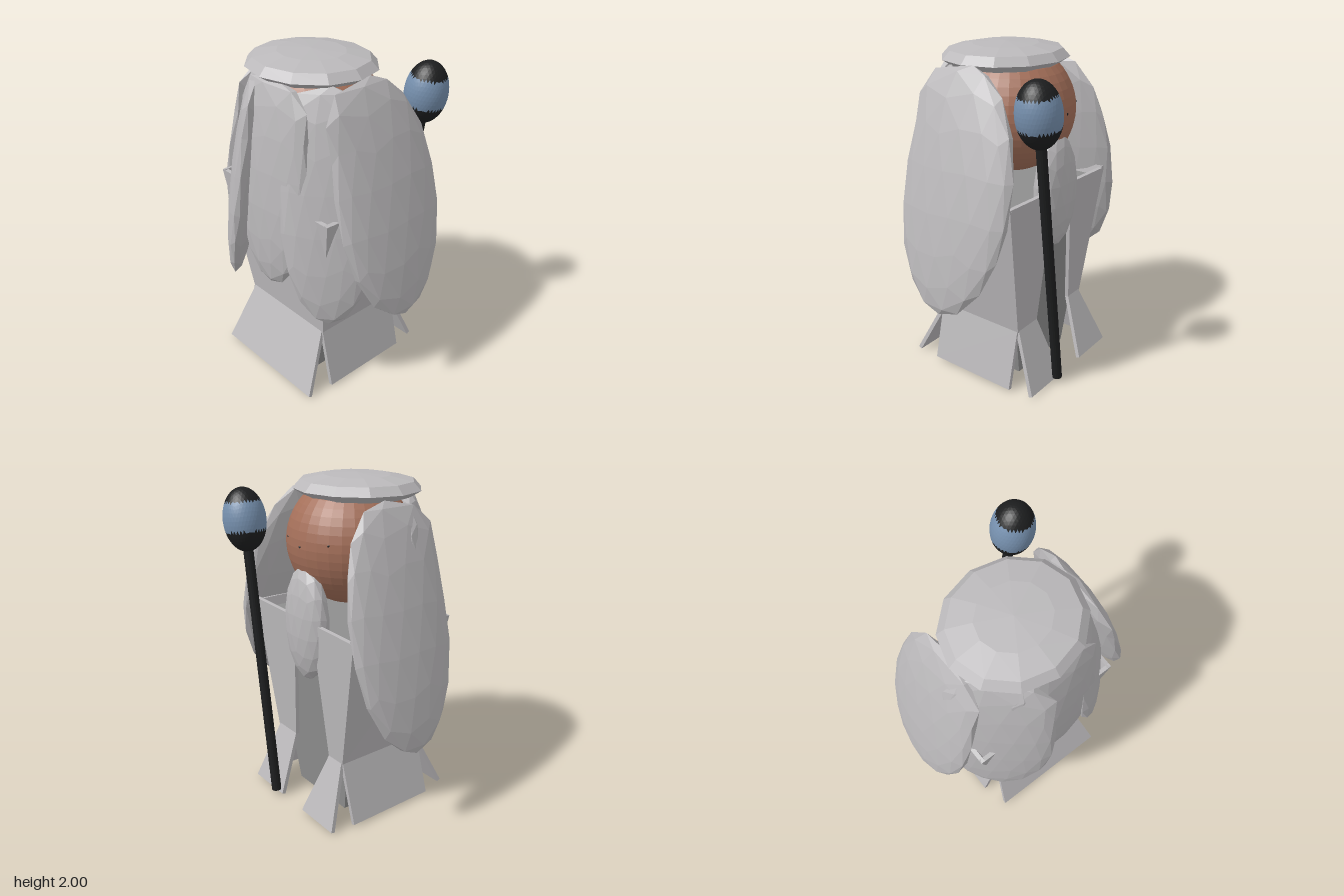
import * as THREE from 'three';

const mat = (name, color) => {
  const m = new THREE.MeshStandardMaterial({ color, flatShading: true });
  m.name = name;
  return m;
};

// Closed six-sided solid between two quads; each ring runs counter-clockwise seen from the "far" side
function hexahedron(near, far) {
  const tri = [];
  const quad = (a, b, c, d) => tri.push(a, b, c, a, c, d);
  quad(far[0], far[1], far[2], far[3]);
  quad(near[3], near[2], near[1], near[0]);
  for (let i = 0; i < 4; i++) {
    const j = (i + 1) % 4;
    quad(near[i], near[j], far[j], far[i]);
  }
  const g = new THREE.BufferGeometry().setFromPoints(tri);
  g.computeVertexNormals();
  return g;
}

// Thin cloth panel: outer quad (bottom left, bottom right, top right, top left) thickened inward
function panel(corners, thickness = 0.025) {
  const outer = corners.map((c) => new THREE.Vector3(...c));
  const n = outer[1].clone().sub(outer[0]).cross(outer[3].clone().sub(outer[0])).normalize();
  const inner = outer.map((p) => p.clone().addScaledVector(n, -thickness));
  return hexahedron(inner, outer);
}

// Faceted unit ball with a corner at each pole
const facetedBall = (detail) => new THREE.IcosahedronGeometry(1, detail).rotateZ(0.5536);

export function createModel() {
  const grey = mat('pale grey', 0xbbb9bb);
  const dark = mat('mid grey', 0x8e8e8e);
  const skin = mat('brown skin', 0xa5705a);
  const black = mat('black', 0x1d1e1f);
  const blue = mat('slate blue', 0x7690ae);

  const model = new THREE.Group();
  const add = (name, geometry, material, parent = model) => {
    const m = new THREE.Mesh(geometry, material);
    m.name = name;
    parent.add(m);
    return m;
  };

  // Inner robe, widening towards the shoulders
  const ring = (y, x0, x1, z0, z1) =>
    [[x0, z1], [x1, z1], [x1, z0], [x0, z0]].map(([x, z]) => new THREE.Vector3(x, y, z));
  add('innerRobe', hexahedron(ring(0, -0.24, 0.2, -0.27, 0.2), ring(1.15, -0.35, 0.28, -0.45, 0.41)), dark);

  // Coat panels and the flared skirt flaps below them
  const yTop = 1.2, yHip = 0.37, yHem = 0.015;
  add('coatFrontLeft', panel([[0.28, yHip, 0.32], [0.28, yHip, 0.13], [0.33, yTop, 0.04], [0.33, yTop + 0.01, 0.46]]), grey);
  add('coatFrontRight', panel([[0.28, yHip, -0.22], [0.28, yHip, -0.35], [0.33, yTop - 0.01, -0.51], [0.33, yTop, -0.13]]), grey);
  add('coatBack', panel([[-0.31, yHip, -0.35], [-0.31, yHip, 0.32], [-0.395, yTop, 0.45], [-0.395, yTop, -0.5]]), grey);
  add('coatLeftSide', panel([[-0.31, yHip, 0.32], [0.28, yHip, 0.32], [0.33, yTop, 0.46], [-0.395, yTop, 0.45]]), grey);
  add('coatRightSide', panel([[0.28, yHip, -0.35], [-0.31, yHip, -0.35], [-0.395, yTop, -0.5], [0.33, yTop, -0.51]]), grey);

  add('flapFrontLeft', panel([[0.43, yHem, 0.38], [0.43, yHem, 0.08], [0.28, 0.38, 0.13], [0.28, 0.38, 0.31]]), grey);
  add('flapFrontRight', panel([[0.43, yHem, -0.14], [0.43, yHem, -0.44], [0.28, 0.38, -0.34], [0.28, 0.38, -0.22]]), grey);
  add('flapBack', panel([[-0.485, yHem, -0.41], [-0.485, yHem, 0.39], [-0.31, 0.38, 0.31], [-0.31, 0.38, -0.34]]), grey);
  add('flapLeftSide', panel([[-0.31, yHem, 0.405], [0.275, yHem, 0.405], [0.275, 0.38, 0.32], [-0.31, 0.38, 0.32]]), grey);
  add('flapRightSide', panel([[0.275, yHem, -0.46], [-0.31, yHem, -0.46], [-0.31, 0.38, -0.35], [0.275, 0.38, -0.35]]), grey);

  // Head with tiny eyes and nose tip, almost flush with the skin
  const headCentre = new THREE.Vector3(-0.025, 1.62, -0.03);
  add('head', new THREE.SphereGeometry(0.37, 32, 24), skin).position.copy(headCentre);
  for (const [name, y, z] of [['leftEye', 0.04, 0.13], ['rightEye', 0.04, -0.2], ['noseTip', 0.01, -0.02]]) {
    const eye = add(name, new THREE.SphereGeometry(0.008, 8, 6), black);
    eye.position.set(Math.sqrt(0.365 ** 2 - y * y - z * z), y, z).add(headCentre);
  }

  // Beard
  const beard = add('beard', facetedBall(2).scale(0.092, 0.35, 0.183), grey);
  beard.position.set(0.288, 1.17, -0.03);

  // Crown of hair on top
  const profile = [[0, 1.88], [0.32, 1.877], [0.385, 1.917], [0.34, 1.964], [0.2, 1.99], [0, 2]];
  const crown = add('hairCrown',
    new THREE.LatheGeometry(profile.map(([r, y]) => new THREE.Vector2(r, y)), 12).scale(0.94, 1, 1.02), grey);
  crown.position.set(-0.075, 0, -0.03);

  // Long locks: flattened ellipsoids leaning outward, facing the given angle around y.
  // fullLeft and fullRight widen the upper end on the local -x and +x sides.
  function lock(name, [x, y, z], angle, width, length, lean, fullLeft, fullRight) {
    const g = facetedBall(2);
    const p = g.attributes.position;
    for (let i = 0; i < p.count; i++) {
      const t = Math.max(0, p.getY(i)), px = p.getX(i);
      p.setX(i, px * (1 + (px < 0 ? fullLeft : fullRight) * t ** 4));
    }
    g.scale(width, length, 0.088);
    g.rotateX(-lean);
    g.rotateY(angle);
    g.computeVertexNormals();
    add(name, g, grey).position.set(x, y, z);
  }
  const q = Math.PI / 4;
  lock('hairLeftSide', [0, 1.25, 0.52], 0, 0.38, 0.695, 0.25, 1.3, -0.1);
  lock('hairRightSide', [0.02, 1.21, -0.54], Math.PI, 0.35, 0.705, 0.23, 0.3, 1.2);
  lock('hairBackRight', [-0.33, 1.21, -0.34], -3 * q, 0.33, 0.695, 0.14, 0.8, 1.2);
  lock('hairBackLeft', [-0.28, 1.21, 0.35], -q, 0.28, 0.695, 0.14, 1.2, 0.2);
  lock('hairBack', [-0.4, 1.28, 0], -2 * q, 0.3, 0.63, 0.06, 1.2, 1.2);

  // Staff with a banded ovoid head, leaning towards the left side
  const staff = new THREE.Group();
  staff.name = 'staff';
  staff.position.set(0.44, 0.03, 0.13);
  staff.rotation.x = Math.atan2(0.21, 1.52);
  model.add(staff);
  add('staffShaft', new THREE.CylinderGeometry(0.03, 0.03, 1.58, 16).translate(0, 0.79, 0), black, staff);

  // Each facet of the staff head takes its band colour from its height
  const knob = facetedBall(7);
  const kp = knob.attributes.position;
  for (let i = 0; i < kp.count; i += 3) {
    const h = (kp.getY(i) + kp.getY(i + 1) + kp.getY(i + 2)) / 3;
    knob.addGroup(i, 3, h > -0.34 && h < 0.56 ? 1 : 0);
  }
  knob.scale(0.126, 0.187, 0.127);
  add('staffHead', knob, [black, blue], staff).position.y = 1.715;
  return model;
}
